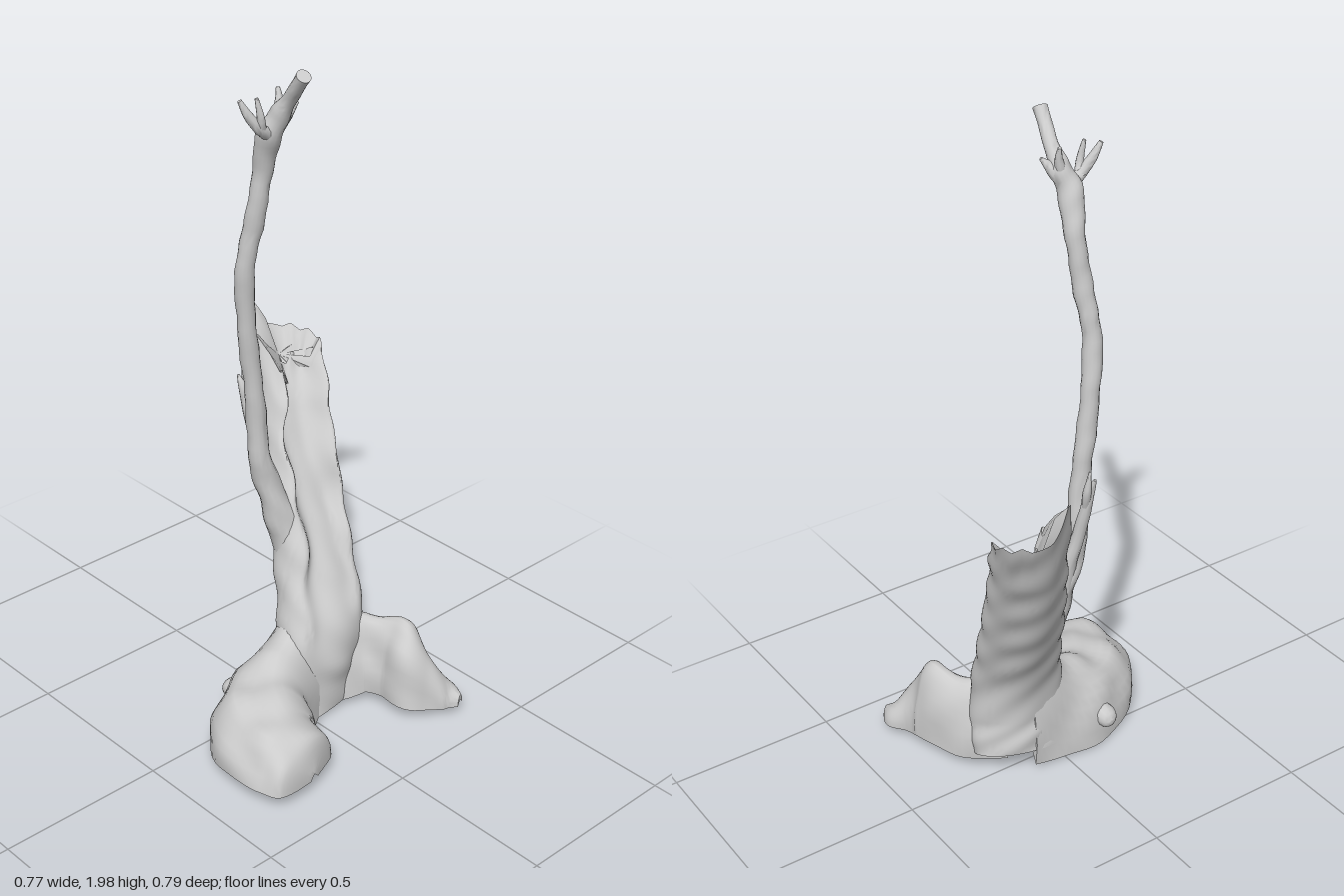
import * as THREE from 'three';
import { toCreasedNormals } from 'three/addons/utils/BufferGeometryUtils.js';

const V = (x, y, z) => new THREE.Vector3(x, y, z);
const material = new THREE.MeshStandardMaterial({ color: 0xcccccc, side: THREE.DoubleSide });

// Smooth interpolation of rows of numbers, t in 0..1
function sample(rows, t) {
  const f = t * (rows.length - 1), i = Math.min(Math.floor(f), rows.length - 2), u = f - i;
  const row = k => rows[Math.max(0, Math.min(rows.length - 1, k))];
  return rows[0].map((_, c) => {
    const [a, b, d, e] = [row(i - 1)[c], row(i)[c], row(i + 1)[c], row(i + 2)[c]];
    return b + 0.5 * u * (d - a + u * (2 * a - 5 * b + 4 * d - e + u * (3 * (b - d) + e - a)));
  });
}

// Soft bark unevenness as a function of position
const bumps = (p, s) => Math.sin(p.x * 31 * s + p.y * 17 * s) * Math.sin(p.z * 37 * s - p.y * 11 * s + 1)
  + 0.5 * Math.sin(p.y * 53 * s + p.x * 41 * s + p.z * 23 * s);

// Skin over closed rings, with both ends closed to a point
function loft(name, rings, startPoint, endPoint) {
  const n = rings[0].length, pos = [], index = [];
  rings.forEach(r => r.forEach(p => pos.push(p.x, p.y, p.z)));
  const centre = r => r.reduce((s, p) => s.add(p), V(0, 0, 0)).divideScalar(n);
  const last = rings.length - 1, s = rings.length * n, e = s + 1;
  for (const p of [startPoint ?? centre(rings[0]), endPoint ?? centre(rings[last])]) pos.push(p.x, p.y, p.z);
  for (let j = 0; j < n; j++) {
    const k = (j + 1) % n;
    index.push(s, j, k, e, last * n + k, last * n + j);
    for (let i = 0; i < last; i++) {
      const a = i * n + j, b = i * n + k;
      index.push(a, a + n, b, b, a + n, b + n);
    }
  }
  const g = new THREE.BufferGeometry();
  g.setAttribute('position', new THREE.Float32BufferAttribute(pos, 3));
  g.setIndex(index);
  const mesh = new THREE.Mesh(toCreasedNormals(g, 0.9), material);
  mesh.name = name;
  return mesh;
}

// Round limb through rows of [x, y, z, radius]
function limb(name, rows, steps = 10, sides = 12) {
  const rings = [], at = t => V(...sample(rows, t));
  for (let i = 0; i <= steps; i++) {
    const t = i / steps, c = at(t), r = sample(rows, t)[3];
    const dir = at(Math.min(1, t + 0.01)).sub(at(Math.max(0, t - 0.01))).normalize();
    const u = V(1, 0, 0.2).addScaledVector(dir, -dir.dot(V(1, 0, 0.2))).normalize();
    const v = u.clone().cross(dir), ring = [];
    for (let j = 0; j < sides; j++) {
      const a = j / sides * Math.PI * 2;
      const p = c.clone().addScaledVector(u, r * Math.cos(a)).addScaledVector(v, r * Math.sin(a));
      ring.push(p.sub(c).multiplyScalar(1 + 0.1 * bumps(c.clone().add(p), 1.3)).add(c));
    }
    rings.push(ring);
  }
  return loft(name, rings);
}

// Arched root, hollow below, through rows of [x, z, half width, height, rim level]
function root(name, rows, steps = 40, sides = 36) {
  const rings = [], at = t => { const r = sample(rows, t); return V(r[0], 0, r[1]); };
  for (let i = 0; i <= steps; i++) {
    const t = i / steps, c = at(t), [, , w, h, rim] = sample(rows, t), ring = [];
    const dir = at(Math.min(1, t + 0.02)).sub(at(Math.max(0, t - 0.02))).normalize();
    const side = dir.cross(V(0, 1, 0));
    for (let j = 0; j < sides; j++) {
      const a = j / sides * Math.PI * 2, cs = Math.cos(a), sn = Math.sin(a);
      const p = c.clone().addScaledVector(side, cs * w * (sn < 0 ? 0.9 : 1));
      p.y = rim + h * (sn > 0 ? sn : -0.65 * sn);
      const b = bumps(p, 0.8);
      p.y += b * 0.012 * Math.max(0, sn);
      p.addScaledVector(side, b * 0.006 * cs);
      ring.push(p);
    }
    rings.push(ring);
  }
  return loft(name, rings);
}

// Leaning broken trunk with a trough down its front and a splintered top
function trunk() {
  // [y, centre x, centre z, radius x, radius z, trough depth]
  const rows = [
    [0.00, 0.05, 0.04, 0.20, 0.10, 0.0], [0.10, 0.07, 0.045, 0.18, 0.10, 0.05],
    [0.20, 0.095, 0.055, 0.155, 0.105, 0.1], [0.30, 0.105, 0.05, 0.14, 0.11, 0.25],
    [0.40, 0.125, 0.012, 0.13, 0.108, 0.45], [0.50, 0.147, -0.033, 0.122, 0.11, 0.65],
    [0.60, 0.167, -0.08, 0.117, 0.113, 0.85], [0.70, 0.19, -0.127, 0.112, 0.11, 1.0],
    [0.80, 0.214, -0.175, 0.106, 0.108, 1.15], [0.90, 0.243, -0.223, 0.103, 0.105, 1.25],
    [1.00, 0.272, -0.27, 0.103, 0.10, 1.3]];
  // height of the broken edge, from the left side round by the front
  const jag = [0, 0.01, -0.02, -0.02, -0.05, -0.03, -0.06, -0.04, -0.05, -0.03, -0.03, 0.02,
    0.05, 0.07, 0.06, 0.12, 0.13, 0.08, 0.04, 0.03, 0.02, 0.03, 0.01, 0.02];
  const sides = 72, steps = 60, rings = [];
  const makeRing = (t, scale, drop) => {
    const [y, cx, cz, rx, rz, depth] = sample(rows, t), ring = [];
    for (let j = 0; j < sides; j++) {
      const a = j / sides * Math.PI * 2, f = j / 3, k = Math.floor(f);
      const edge = THREE.MathUtils.lerp(jag[k], jag[(k + 1) % 24], f - k);
      const off = a - Math.PI / 2 + 0.08 * Math.sin(y * 14);
      const dent = depth * Math.exp(-((off / (0.72 + 0.06 * Math.sin(y * 33))) ** 4));
      const p = V(cx + rx * scale * Math.cos(a), y, cz + rz * scale * (Math.sin(a) - dent));
      const r = 0.004 * bumps(p, 0.9) + 0.003 * Math.sin(a * 5 + y * 3);
      // the splinters slide along the lean; the foot is tilted
      const slide = edge * Math.max(0, (t - 0.85) / 0.15) - drop;
      p.add(V(r * Math.cos(a), slide, r * Math.sin(a) - 0.22 * slide));
      p.y += (0.12 * (p.x + 0.15) + 0.28 * (0.14 - p.z)) * Math.max(0, 1 - t / 0.2);
      ring.push(p);
    }
    return ring;
  };
  rings.push(makeRing(0, 0.85, 0));
  for (let i = 0; i <= steps; i++) rings.push(makeRing(i / steps, 1, 0));
  rings.push(makeRing(1, 0.85, 0.02), makeRing(1, 0.65, 0.05));
  return loft('trunk', rings, V(0.05, 0.14, 0.04), V(0.272, 0.96, -0.32));
}

export function createModel() {
  const group = new THREE.Group();
  group.add(trunk());

  // Roots
  group.add(root('broadRoot', [
    [0.11, 0.03, 0.085, 0.42, 0.03], [0.0, 0.04, 0.105, 0.31, 0.02], [-0.12, 0.07, 0.135, 0.235, 0.02],
    [-0.205, 0.14, 0.16, 0.185, 0.045], [-0.24, 0.23, 0.152, 0.155, 0.06],
    [-0.235, 0.30, 0.14, 0.135, 0.06], [-0.225, 0.35, 0.115, 0.11, 0.055], [-0.22, 0.372, 0.02, 0.04, 0.055]]));
  group.add(root('archedRoot', [
    [0.13, 0.07, 0.06, 0.24, 0.03], [0.22, 0.12, 0.068, 0.23, 0.05], [0.255, 0.20, 0.07, 0.235, 0.055],
    [0.265, 0.27, 0.078, 0.225, 0.055], [0.295, 0.32, 0.058, 0.15, 0.045],
    [0.33, 0.36, 0.046, 0.06, 0.045], [0.345, 0.395, 0.014, 0.03, 0.045]]));
  group.add(limb('rootKnob', [
    [-0.145, 0.11, 0.03, 0.035], [-0.145, 0.105, -0.04, 0.037], [-0.146, 0.1, -0.075, 0.026],
    [-0.146, 0.1, -0.088, 0.006]]));

  // Tall branch
  group.add(limb('branch', [
    [0.10, 0.42, -0.03, 0.055], [0.072, 0.56, -0.07, 0.052], [0.038, 0.67, -0.088, 0.042],
    [0.0, 0.8, -0.10, 0.033], [-0.016, 1.0, -0.10, 0.028], [-0.04, 1.2, -0.10, 0.027],
    [-0.058, 1.4, -0.088, 0.027], [-0.045, 1.55, -0.065, 0.027], [-0.032, 1.7, -0.04, 0.028],
    [-0.04, 1.8, -0.012, 0.033], [-0.025, 1.86, 0.015, 0.028], [-0.025, 1.91, 0.055, 0.02],
    [-0.038, 1.985, 0.115, 0.02]], 70, 16));

  // Twigs, each a row list
  const twigs = {
    crownTwigLong: [[-0.04, 1.8, -0.005, 0.02], [-0.085, 1.83, 0.005, 0.016], [-0.115, 1.87, -0.005, 0.012], [-0.135, 1.91, -0.015, 0.006]],
    crownTwigFork: [[-0.08, 1.825, 0.005, 0.014], [-0.09, 1.86, 0.015, 0.011], [-0.1, 1.915, 0.01, 0.005]],
    crownTwigShort: [[-0.03, 1.82, 0.0, 0.022], [0.0, 1.86, 0.02, 0.016], [0.022, 1.885, 0.03, 0.005]],
    crownTwigBack: [[-0.03, 1.82, 0.0, 0.02], [-0.012, 1.88, -0.003, 0.012], [-0.008, 1.92, -0.012, 0.005]],
    sideTwig: [[0.06, 0.6, -0.085, 0.04], [0.04, 0.72, -0.11, 0.026], [0.018, 0.83, -0.135, 0.018], [0.008, 0.94, -0.16, 0.017], [0.0, 1.0, -0.17, 0.012], [-0.003, 1.035, -0.185, 0.004]],
    sideTwigFork: [[0.01, 0.93, -0.158, 0.012], [0.016, 1.0, -0.175, 0.011], [0.012, 1.065, -0.183, 0.004]],
  };
  for (const [name, rows] of Object.entries(twigs)) group.add(limb(name, rows, 14, 10));
  return group;
}
